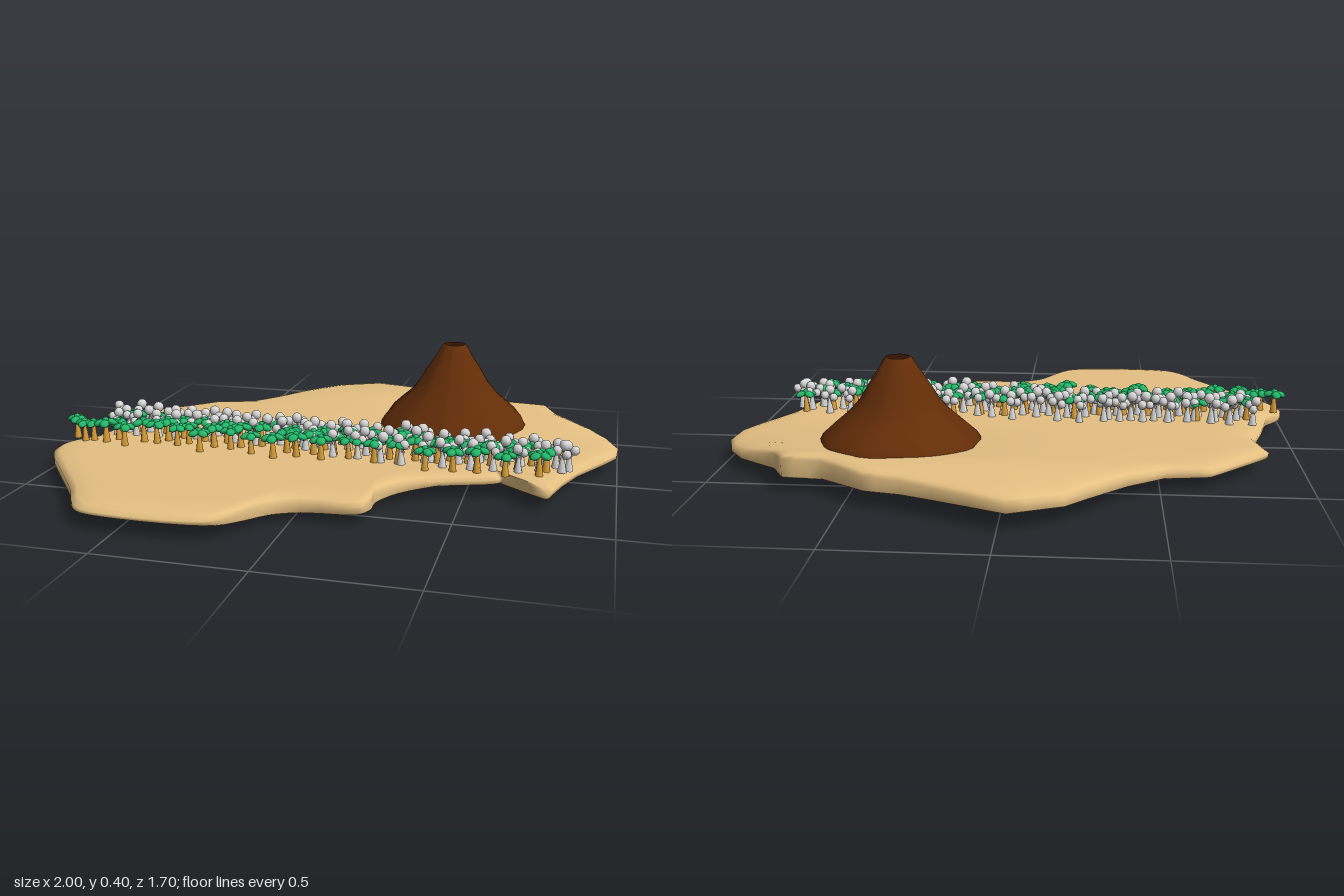
import * as THREE from 'three';
import { mergeGeometries } from 'three/addons/utils/BufferGeometryUtils.js';

const mat = (name, color, extra = {}) => Object.assign(new THREE.MeshStandardMaterial({ color, ...extra }), { name });
const step = THREE.MathUtils.smoothstep;

// Small seeded random generator
function seeded(seed) {
  return () => {
    seed = (seed + 0x6d2b79f5) | 0;
    let t = Math.imul(seed ^ (seed >>> 15), 1 | seed);
    t = (t + Math.imul(t ^ (t >>> 7), 61 | t)) ^ t;
    return ((t ^ (t >>> 14)) >>> 0) / 4294967296;
  };
}

// Coastline as x, z pairs, starting at the back tip
const COAST = [
  [-.03, -.85], [.31, -.715], [.43, -.69], [.59, -.58], [.72, -.57], [.77, -.485], [.91, -.395], [.97, -.32],
  [1, -.24], [.995, -.16], [.95, -.07], [.865, .08], [.82, .2], [.785, .325], [.625, .2], [.6, .225],
  [.415, .29], [.3, .36], [.245, .455], [.245, .535], [.215, .59], [.03, .595], [-.065, .645], [-.12, .73],
  [-.18, .81], [-.26, .838], [-.475, .845], [-.61, .825], [-.665, .78], [-.73, .67], [-.9, .445], [-.97, .35],
  [-1, .27], [-.98, .2], [-.93, .15], [-.89, 0], [-.85, -.12], [-.88, -.24], [-.865, -.27], [-.67, -.455],
  [-.52, -.48], [-.395, -.575], [-.2, -.78],
];

// Coast points: straight runs at the back, rounded bays on the front lobe
function coastPoints() {
  const curve = new THREE.CatmullRomCurve3(COAST.map(([x, z]) => new THREE.Vector3(x, 0, z)), true);
  const pts = [], n = COAST.length;
  COAST.forEach(([x, z], i) => {
    const [nx, nz] = COAST[(i + 1) % n];
    const rounded = z > .19 && nz > .19 && x < .61;
    for (let k = 0; k < 3; k++) {
      const p = curve.getPoint((i + k / 3) / n);
      pts.push(rounded ? [p.x, p.z] : [x + (nx - x) * k / 3, z + (nz - z) * k / 3]);
    }
  });
  return pts;
}

// Ground height: flat, with a gentle rise toward the back right that dips again at the tip
function groundTop(x, z) {
  const rise = THREE.MathUtils.clamp(-z / .57, 0, 1) ** 1.5 * .05 - .02 * (1 - step(z, -.87, -.58));
  return .081 + rise * (1 - step(x, .75, 1)) * step(x, -.7, .1);
}

// Underside: flat plate with a steep-backed bowl below the front lobe
function groundBottom(x, z) {
  const acrossZ = z < .3 ? step(z, .1, .15) * (.78 + .22 * step(z, .1, .3)) : Math.max(0, 1 - ((z - .3) / .58) ** 2);
  const acrossX = Math.max(0, 1 - ((x + .32) / .74) ** 2);
  return .04 + .014 * (1 - step(z, -.8, -.4)) + .008 * step(z, .3, .8) - .043 * acrossZ * acrossX;
}

// Island shell: scaled coastline rings over the top, round the rim and back underneath
function islandGeometry() {
  const cx = .1, cz = -.2, pts = coastPoints();
  const rings = [];
  for (let i = 0; i <= 15; i++) rings.push([i * .06, 0, true]);
  rings.push([.95, .003, true], [.982, .009, true], [1, .021, true], [1, .006, false], [.985, .001, false]);
  for (let i = 32; i >= 0; i--) rings.push([i * .03, 0, false]);

  const pos = [], index = [], n = pts.length;
  for (const [s, edge, top] of rings) {
    for (const [px, pz] of pts) {
      const x = cx + (px - cx) * s, z = cz + (pz - cz) * s;
      pos.push(x, top ? groundTop(x, z) - edge : groundBottom(x, z) + edge, z);
    }
  }
  for (let i = 0; i < rings.length - 1; i++) {
    for (let j = 0; j < n; j++) {
      const k = (j + 1) % n, a = i * n + j, d = i * n + k, b = a + n, c = d + n;
      index.push(a, c, b, a, d, c);
    }
  }
  const geo = new THREE.BufferGeometry();
  geo.setAttribute('position', new THREE.Float32BufferAttribute(pos, 3));
  geo.setIndex(index);
  geo.computeVertexNormals();
  return geo;
}

// Open cone whose foot follows the ground and whose sides are slightly uneven
function volcanoGeometry() {
  const profile = [[.275, .075], [.262, .1], [.215, .15], [.172, .2], [.135, .25], [.103, .305], [.068, .358], [.045, .398], [.038, .4]];
  const geo = new THREE.LatheGeometry(profile.map(([r, y]) => new THREE.Vector2(r, y)), 36);
  const p = geo.attributes.position;
  for (let i = 0; i < p.count; i++) {
    const y = p.getY(i), a = Math.atan2(p.getZ(i), p.getX(i));
    const wobble = 1 + .02 * Math.sin(5 * a + y * 14) + .015 * Math.sin(9 * a + 1);
    const x = .372 + p.getX(i) * wobble, z = -.325 + p.getZ(i) * wobble - .015 * step(y, .1, .4);
    p.setXYZ(i, x, y + (groundTop(x, z) - .081) * (1 - step(y, .1, .25)), z);
  }
  geo.computeVertexNormals();
  return geo;
}

// Flared trunk standing on y = 0
function trunk(height, foot, tip) {
  return new THREE.CylinderGeometry(tip, foot, height, 7).translate(0, height / 2, 0);
}

// Palm crown: four plump drooping leaves
function palmCrown() {
  const leaves = [];
  for (let i = 0; i < 4; i++) {
    leaves.push(new THREE.SphereGeometry(1, 7, 5).scale(.021, .011, .018)
      .rotateZ(-.35).translate(.021, .071, 0).rotateY(i * Math.PI / 2 + (i % 2) * .3));
  }
  leaves.push(new THREE.SphereGeometry(.013, 6, 4).translate(0, .078, 0));
  return mergeGeometries(leaves);
}

// Pale tree crown: a cluster of balls on short twigs
function ballCrown() {
  const balls = [[.018, .064, .006, .016], [-.015, .074, .01, .017], [.002, .09, -.009, .019]];
  return mergeGeometries(balls.flatMap(([x, y, z, r]) => [
    new THREE.SphereGeometry(r, 8, 6).translate(x, y, z),
    new THREE.CylinderGeometry(.003, .004, .04, 5).translate(0, .02, 0)
      .rotateZ(-x * 22).rotateX(z * 22).translate(0, .035, 0),
  ]));
}

// Places copies of a shape at each spot and joins them
function scatter(shape, spots) {
  return mergeGeometries(spots.map(({ x, z, turn, size }) =>
    shape.clone().rotateY(turn).scale(size, size, size).translate(x, .079, z)));
}

// Spots spread evenly along x, with z picked inside a band
function spots(count, x0, x1, band, seed) {
  const rnd = seeded(seed), list = [];
  for (let i = 0; i < count; i++) {
    const x = x0 + (x1 - x0) * (i + rnd()) / count, [z0, z1] = band(x);
    // alternate between the back, middle and front thirds of the band
    const t = ((i * 2) % 3 + rnd()) / 3;
    list.push({ x, z: z0 + (z1 - z0) * t, turn: rnd() * 6.28, size: .92 + rnd() * .14 });
  }
  return list;
}

export function createModel() {
  const sand = mat('sand', 0xe5c083);
  const lava = mat('darkBrown', 0x632d08, { side: THREE.DoubleSide });
  const green = mat('leafGreen', 0x22b86a);
  const wood = mat('palmWood', 0xdca03a);
  const pale = mat('paleGrey', 0xd8d8d8);

  const model = new THREE.Group();
  const add = (name, geo, material) => {
    const mesh = new THREE.Mesh(geo, material);
    mesh.name = name;
    model.add(mesh);
  };
  add('island', islandGeometry(), sand);
  add('volcano', volcanoGeometry(), lava);

  // Belt of palms along the front side, pale trees along the back side
  const palms = spots(58, -.96, .81, x => x < -.88 ? [.18, .22] : x > .5 ? [.06, .23] : [.05, .24], 7);
  const paleTrees = spots(66, -.87, .86, x => x < -.1 ? [0, .12] : x < .4 ? [0, .22] : x < .75 ? [.04, .2] : [.07, .17], 21);
  add('palmTrunks', scatter(trunk(.07, .014, .005), palms), wood);
  add('palmLeaves', scatter(palmCrown(), palms), green);
  add('paleTrunks', scatter(trunk(.058, .016, .005), paleTrees), pale);
  add('paleCrowns', scatter(ballCrown(), paleTrees), pale);
  return model;
}
